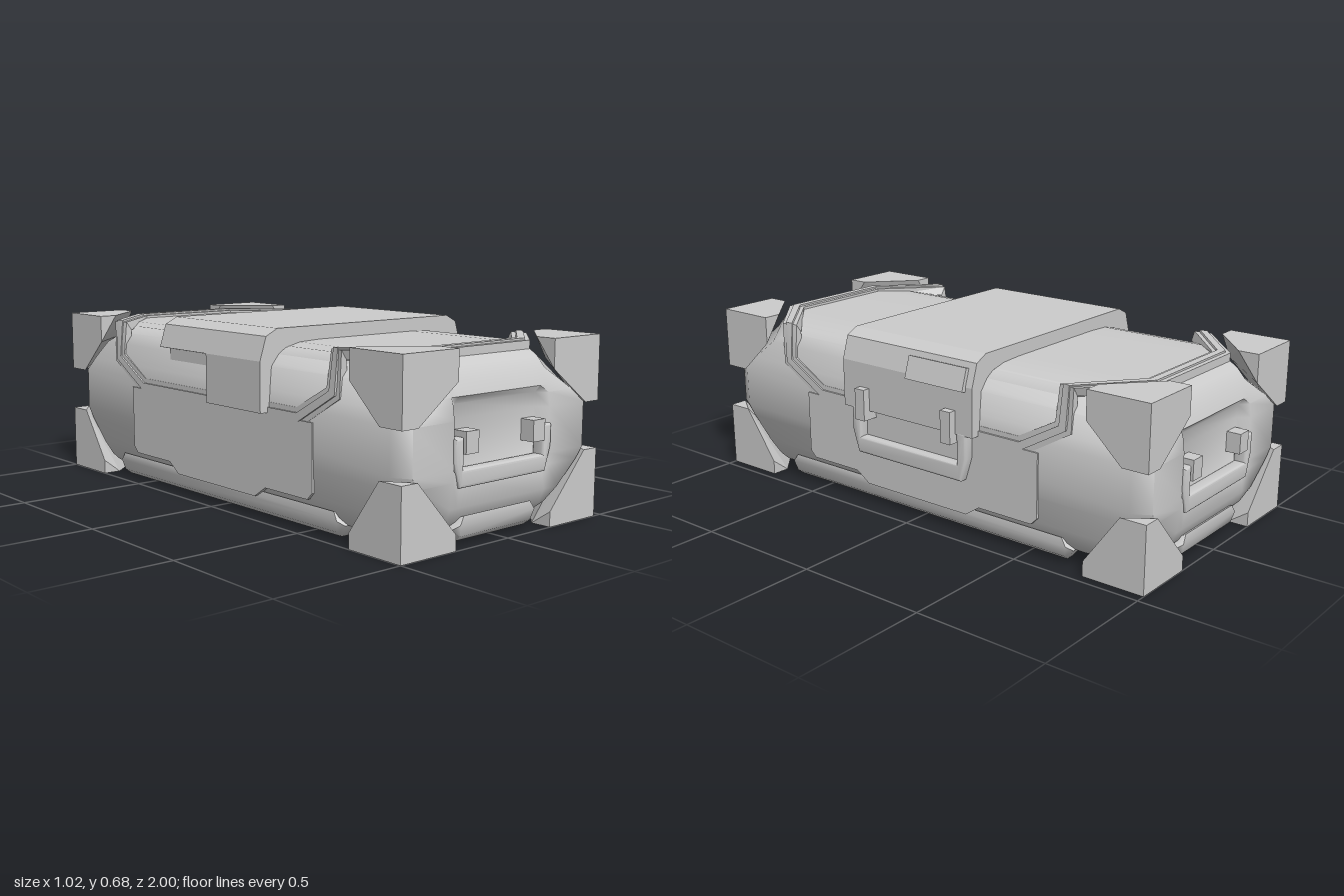
import * as THREE from 'three';
import { toCreasedNormals } from 'three/addons/utils/BufferGeometryUtils.js';
import { ConvexGeometry } from 'three/addons/geometries/ConvexGeometry.js';

const material = new THREE.MeshStandardMaterial({ color: 0xcccccc });
const thin = new THREE.MeshStandardMaterial({ color: 0xcccccc, side: THREE.DoubleSide });
const V = (x, y, z) => new THREE.Vector3(x, y, z);

// Skin a surface over rows of points; optionally closed around and capped
function skin(rows, { closed = false, capped = false, crease = 0.6 } = {}) {
  const n = rows[0].length, index = [];
  const points = rows.flat();
  for (let i = 0; i < rows.length - 1; i++) {
    for (let j = 0; j < (closed ? n : n - 1); j++) {
      const a = i * n + j, b = i * n + (j + 1) % n;
      index.push(a, b, a + n, b, b + n, a + n);
    }
  }
  if (capped) {
    const top = (rows.length - 1) * n, c = points.length;
    points.push(V(0, rows[0][0].y, 0), V(0, rows.at(-1)[0].y, 0));
    for (let j = 0; j < n; j++) {
      const k = (j + 1) % n;
      index.push(c, k, j, c + 1, top + j, top + k);
    }
  }
  const geometry = new THREE.BufferGeometry().setFromPoints(points);
  geometry.setIndex(index);
  return toCreasedNormals(geometry, crease);
}

function shapeOf(points) {
  return new THREE.Shape(points.map(([x, y]) => new THREE.Vector2(x, y)));
}

// U-shaped carrying handle with two brackets, facing +z, front at z = 0
function makeHandle({ half, top, bottom, inner, post, bracketX, bracketW, bracketY, bracketH, proud, depth }) {
  const group = new THREE.Group();
  const b = 0.01, o = half - b, i = half - post + b;
  const grip = new THREE.ExtrudeGeometry(shapeOf([
    [-o, top - b], [-o, bottom + 0.09], [-o + 0.025, bottom + b], [o - 0.025, bottom + b],
    [o, bottom + 0.09], [o, top - b], [i, top - b], [i, inner - b], [-i, inner - b], [-i, top - b],
  ]), { depth: depth - 2 * b, bevelSize: b, bevelThickness: b, bevelSegments: 3 });
  grip.translate(0, 0, b - depth);
  const gripMesh = new THREE.Mesh(toCreasedNormals(grip, 0.7), material);
  gripMesh.name = 'handleGrip';
  group.add(gripMesh);
  for (const s of [-1, 1]) {
    const bracket = new THREE.Mesh(new THREE.BoxGeometry(bracketW, bracketH, 0.07), material);
    bracket.position.set(s * bracketX, bracketY, proud - 0.035);
    bracket.name = 'handleBracket';
    group.add(bracket);
  }
  return group;
}

export function createModel() {
  const model = new THREE.Group();
  const crate = new THREE.Group();
  crate.name = 'crate';
  crate.position.x = -0.018;
  model.add(crate);
  const add = (name, geometry, mat = material) => {
    const mesh = new THREE.Mesh(geometry, mat);
    mesh.name = name;
    crate.add(mesh);
    return mesh;
  };

  // Body: nearly square at mid height, corners cut away towards top and bottom
  // [y, half width, half length, corner cut on x, corner cut on z, end recess depth]
  const body = [
    [0.055, 0.42, 0.925, 0.24, 0.74, 0], [0.08, 0.44, 0.95, 0.26, 0.76, 0], [0.13, 0.452, 0.97, 0.305, 0.805, 0],
    [0.22, 0.456, 0.982, 0.39, 0.89, 0], [0.26, 0.457, 0.985, 0.42, 0.92, 0.04], [0.42, 0.457, 0.985, 0.42, 0.92, 0.04],
    [0.47, 0.454, 0.978, 0.36, 0.865, 0.03], [0.495, 0.452, 0.97, 0.325, 0.835, 0], [0.55, 0.447, 0.947, 0.25, 0.765, 0],
    [0.59, 0.415, 0.915, 0.245, 0.7, 0], [0.615, 0.37, 0.88, 0.24, 0.65, 0],
  ].map(([y, hx, hz, xa, za, d]) => {
    const half = [[hx, -za], [xa, -hz], [0.235, -hz], [0.2, d - hz], [-0.2, d - hz], [-0.235, -hz], [-xa, -hz], [-hx, -za]];
    return [...half, ...half.map(([x, z]) => [-x, -z])].map(([x, z]) => V(x, y, z));
  });
  add('body', skin(body, { closed: true, capped: true, crease: 1.1 }));

  // Lid: rounded arch trimmed to the chamfered plan
  const arch = [[0.447, 0.39], [0.446, 0.5], [0.435, 0.56], [0.415, 0.59], [0.385, 0.61], [0.32, 0.626], [0.23, 0.63]];
  const profile = [...arch.map(([x, y]) => [-x, y]), ...[...arch].reverse()];
  const reach = (x) => 0.85 - 0.2 * Math.max(0, Math.abs(x) - 0.23) / 0.217;
  add('lid', skin([1, -1].map((s) => profile.map(([x, y]) => V(x, y, s * reach(x)))), { crease: 1 }), thin);

  // Stepped seal rim: [point, outward direction, width direction] for one quarter
  const quarter = [
    [V(0.44, 0.395, 0.48), V(1, 0, 0), V(0, 1, -0.35)],
    [V(0.44, 0.495, 0.655), V(1, 0, 0), V(0, 0.5, -1)],
    [V(0.437, 0.622, 0.66), V(0.6, 0.9, 0), V(-0.2, 0, -1)],
    [V(0.23, 0.622, 0.855), V(0, 1, 0), V(-0.3, 0, -1)],
  ];
  const rimRows = (halfWidth, thickness) => {
    const row = ([p, n, s], sx, sz) =>
      [[1, 1], [1, -1], [-1, -1], [-1, 1]].map(([a, b]) =>
        p.clone().addScaledVector(n, a * thickness).addScaledVector(s, b * halfWidth)
          .multiply(V(sx, 1, sz)));
    const back = [...quarter].reverse();
    const rows = [
      ...quarter.map((q) => row(q, 1, -1)), ...back.map((q) => row(q, -1, -1)),
      ...quarter.map((q) => row(q, -1, 1)), ...back.map((q) => row(q, 1, 1)),
    ];
    return [...rows, rows[0]];
  };
  add('rim', skin(rimRows(0.032, 0.018), { closed: true, crease: 0.3 }));
  add('rimRidge', skin(rimRows(0.014, 0.025), { closed: true, crease: 0.3 }));

  // Broad cover over the lid, with a shorter flap on the right side
  const cover = new THREE.ExtrudeGeometry(shapeOf([
    [0.497, 0.39], [0.497, 0.57], [0.47, 0.655], [0.42, 0.68],
    [-0.42, 0.68], [-0.47, 0.655], [-0.497, 0.57], [-0.45, 0.56], [-0.45, 0.39],
  ]), { depth: 0.62, bevelEnabled: false });
  add('cover', cover).position.z = -0.3;
  add('coverFlap', new THREE.BoxGeometry(0.05, 0.18, 0.32)).position.set(-0.472, 0.48, 0.16);

  // Plate on the cover's left side
  const plate = add('coverPlate', new THREE.BoxGeometry(0.018, 0.085, 0.265));
  plate.position.set(0.495, 0.595, -0.138);
  plate.rotation.z = 0.3;

  // Corner guards: cubes with the inner corner cut off
  for (const sx of [-1, 1]) for (const sz of [-1, 1]) for (const top of [false, true]) {
    const L = [0.247, top ? 0.235 : 0.25, 0.24];
    const e = top ? 0.105 : 0.055;
    const points = [
      [0, 0, 0], [L[0], 0, 0], [0, L[1], 0], [0, 0, L[2]],
      [L[0], e, 0], [0.07, L[1], 0], [L[0], 0, 0.08], [0.07, 0, L[2]], [0, e, L[2]], [0, L[1], 0.1],
    ].map(([x, y, z]) => V(sx * (0.482 - x), top ? 0.655 - y : y, sz * (1 - z)));
    add(top ? 'upperCornerGuard' : 'lowerCornerGuard', new ConvexGeometry(points));
  }

  // Rounded foot rails along the four bottom edges
  const rail = (half, far) => {
    const points = [];
    for (const s of [-1, 1]) {
      points.push(V(s * (half - 0.035), 0.01, far - 0.065), V(s * (half - 0.035), 0.01, far - 0.035),
        V(s * (half - 0.03), 0.03, far - 0.01), V(s * (half - 0.02), 0.07, far),
        V(s * half, 0.06, far - 0.085), V(s * half, 0.055, far - 0.02), V(s * (half - 0.04), 0.1, far - 0.004));
    }
    return toCreasedNormals(new ConvexGeometry(points), 1);
  };
  for (const s of [0, 1]) {
    add('endFootRail', rail(0.205, 0.972)).rotation.y = s * Math.PI;
    add('sideFootRail', rail(0.69, 0.453)).rotation.y = (s + 0.5) * Math.PI;
  }

  // Raised panels on both long sides
  const edge = [[0.555, 0.385], [0.555, 0.145], [0.53, 0.12], [0.3, 0.12], [0.24, 0.08]];
  const panel = new THREE.ExtrudeGeometry(
    shapeOf([...edge.map(([x, y]) => [-x, y]), ...[...edge].reverse()]),
    { depth: 0.03, bevelEnabled: false });
  panel.translate(0, 0, 0.433);
  for (const s of [-1, 1]) add('sidePanel', panel).rotation.y = s * Math.PI / 2;

  // Handles at both ends and on one long side
  for (const s of [0, 1]) {
    const pivot = new THREE.Group();
    pivot.name = 'endHandle';
    pivot.rotation.y = s * Math.PI;
    const handle = makeHandle({
      half: 0.238, top: 0.365, bottom: 0.2, inner: 0.26, post: 0.042, depth: 0.05,
      bracketX: 0.165, bracketW: 0.06, bracketY: 0.348, bracketH: 0.075, proud: 0.005,
    });
    handle.position.z = 0.995;
    pivot.add(handle);
    crate.add(pivot);
  }
  const sideHandle = makeHandle({
    half: 0.277, top: 0.4, bottom: 0.215, inner: 0.28, post: 0.045, depth: 0.045,
    bracketX: 0.207, bracketW: 0.045, bracketY: 0.417, bracketH: 0.12, proud: 0.028,
  });
  sideHandle.name = 'sideHandle';
  sideHandle.position.set(0.498, 0, 0.007);
  sideHandle.rotation.y = Math.PI / 2;
  crate.add(sideHandle);
  return model;
}
